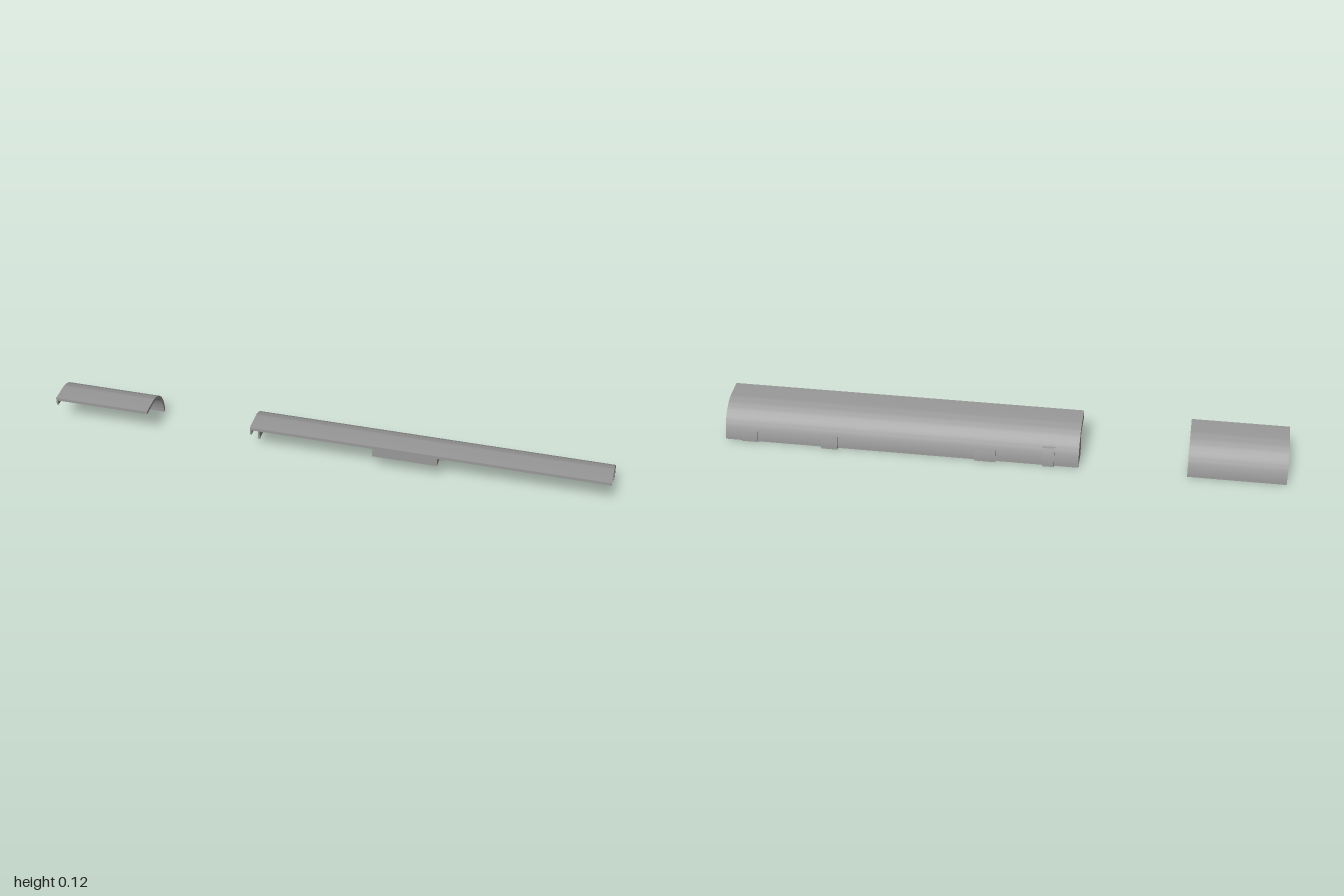
import * as THREE from 'three';
import { toCreasedNormals } from 'three/addons/utils/BufferGeometryUtils.js';

const FRONT = -0.096;   // front edge in profile space (profile x = -z)
const CENTRE = -0.03;   // where the flat top turns into the curve
const RZ = 0.115, RY = 0.121;

// Points on the quarter curve, inset by t, between two angles (90 deg is the top, 0 the foot)
function arc(t, from, to, n = 24) {
  return Array.from({ length: n + 1 }, (_, i) => {
    const a = from + (to - from) * i / n;
    return new THREE.Vector2(CENTRE + (RZ - t) * Math.cos(a), (RY - t) * Math.sin(a));
  });
}

// Extrude a cross-section along x from x0 to x1
function sweep(name, points, x0, x1, material) {
  const raw = new THREE.ExtrudeGeometry(new THREE.Shape(points), { depth: x1 - x0, bevelEnabled: false });
  raw.rotateY(Math.PI / 2).translate(x0, 0, 0);
  const mesh = new THREE.Mesh(toCreasedNormals(raw, 0.5), material);
  mesh.name = name;
  return mesh;
}

// Band of a flat top running into the curve, between two insets
function canopy(t0, t1) {
  return [
    new THREE.Vector2(FRONT, RY - t0), ...arc(t0, Math.PI / 2, 0),
    ...arc(t1, 0, Math.PI / 2), new THREE.Vector2(FRONT, RY - t1)
  ];
}

const polygon = (...pairs) => pairs.map(([x, y]) => new THREE.Vector2(x, y));

export function createModel() {
  const model = new THREE.Group();
  model.name = 'coverStrip';
  const material = new THREE.MeshStandardMaterial({ color: 0x999999 });

  // Two curved covers, each with a thicker rim at its right end
  for (const [name, x0, x1] of [['shortCover', -1, -0.655], ['longCover', -0.273, 1]]) {
    const cover = new THREE.Group();
    cover.name = name;
    cover.add(sweep('curvedShell', canopy(0, 0.011), x0, x1, material));
    cover.add(sweep('endRim', canopy(0.01, 0.03), x0, x0 + 0.006, material));
    model.add(cover);
  }
  const long = model.getObjectByName('longCover');

  // End plate filling the back of the rim
  long.add(sweep('endPlate', [
    ...polygon([0, 0], [0, 0.09]), ...arc(0.02, Math.PI * 0.4, 0)
  ], -0.273, -0.267, material));

  // Central block filling the shell: deep front lip, sloped underside, recessed lower face
  long.add(sweep('centreBlock', [
    ...polygon([FRONT, 0.112], [FRONT, 0.078], [0.016, 0.077], [0.034, 0.066], [0.034, 0]),
    ...arc(0.01, 0, Math.PI / 2)
  ], 0.17, 0.4, material));

  // Clips along the foot of the back: x range, height, how far they stand out
  const clips = [
    [-0.187, -0.145, 0.069, 0.008], [0.02, 0.097, 0.046, 0.008],
    [0.59, 0.648, 0.047, 0.011], [0.882, 0.938, 0.04, 0.005]
  ];
  const inset = 0.013;
  for (const [x0, x1, h, out] of clips) {
    const outerTop = Math.asin((h - 0.002) / (RY + out));
    const innerTop = Math.asin(h / (RY - inset));
    long.add(sweep('clip', [...arc(-out, outerTop, 0, 6), ...arc(inset, 0, innerTop, 6)], x0, x1, material));
  }
  return model;
}
